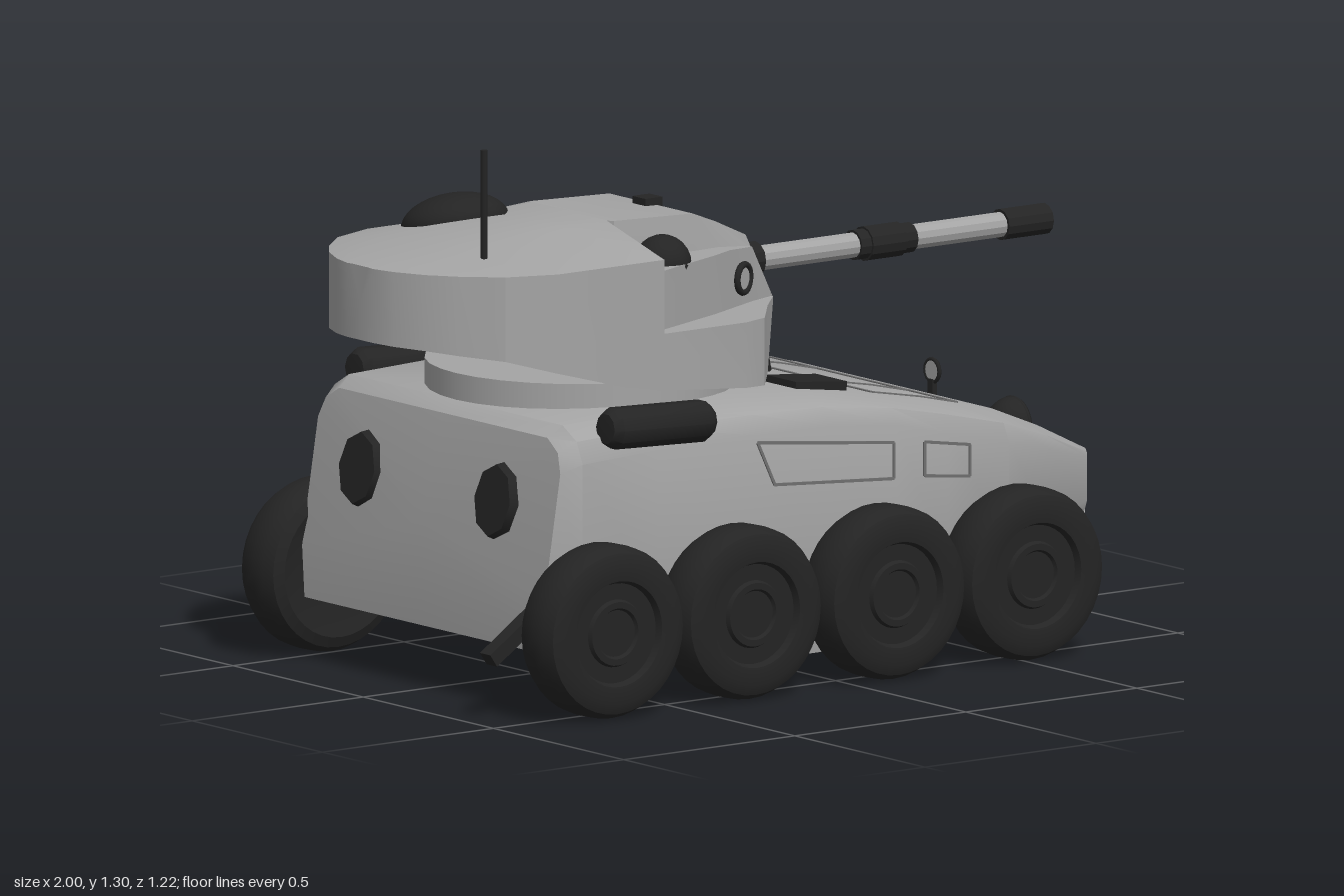
import * as THREE from 'three';
import { toCreasedNormals } from 'three/addons/utils/BufferGeometryUtils.js';

const material = (name, color) => {
  const m = new THREE.MeshStandardMaterial({ color });
  m.name = name;
  return m;
};

// Closed loft along x. Each half section lists [x, y, z] from bottom centre to top centre.
function loft(halves, crease) {
  const rings = halves.map(h => [...h, ...h.slice(1, -1).reverse().map(([x, y, z]) => [x, y, -z])]);
  const n = rings[0].length, pos = [];
  for (let i = 0; i < rings.length - 1; i++) {
    const a = rings[i], b = rings[i + 1];
    for (let j = 0; j < n; j++) {
      const k = (j + 1) % n;
      pos.push(...a[j], ...b[j], ...a[k], ...b[j], ...b[k], ...a[k]);
    }
  }
  const first = rings[0], last = rings[rings.length - 1];
  const mid = r => [r[0][0], (r[0][1] + r[n / 2][1]) / 2, 0];
  for (let j = 0; j < n; j++) {
    const k = (j + 1) % n;
    pos.push(...mid(first), ...first[j], ...first[k], ...mid(last), ...last[k], ...last[j]);
  }
  const g = new THREE.BufferGeometry();
  g.setAttribute('position', new THREE.Float32BufferAttribute(pos, 3));
  return toCreasedNormals(g, crease);
}

// Hull stations: x, bottom y, bottom half width, side half width, shoulder y, roof half width, roof y
const HULL = [
  [-0.82, 0.15, 0.45, 0.465, 0.57, 0.40, 0.645], [-0.72, 0.13, 0.47, 0.487, 0.59, 0.41, 0.672],
  [-0.5, 0.10, 0.47, 0.487, 0.60, 0.41, 0.68], [-0.2, 0.065, 0.47, 0.487, 0.60, 0.41, 0.675],
  [0, 0.065, 0.47, 0.487, 0.60, 0.41, 0.668], [0.2, 0.065, 0.47, 0.485, 0.58, 0.41, 0.64],
  [0.36, 0.065, 0.46, 0.472, 0.54, 0.40, 0.61], [0.56, 0.145, 0.39, 0.442, 0.49, 0.375, 0.563],
  [0.72, 0.20, 0.34, 0.39, 0.45, 0.34, 0.50], [0.893, 0.255, 0.288, 0.305, 0.40, 0.298, 0.42],
];

// Hull dimension (column) at a given x
function hullAt(x, column) {
  const i = Math.max(1, HULL.findIndex(s => s[0] >= x));
  const a = HULL[i - 1], b = HULL[i];
  return THREE.MathUtils.lerp(a[column], b[column], (x - a[0]) / (b[0] - a[0]));
}

// Turret stations: x, skirt half width, bottom y, cheek half width, shelf y, ridge half width, ridge y
const TURRET = [
  [-1, 0.05, 0.845, 0.05, 1.02, 0.03, 1.021], [-0.985, 0.11, 0.843, 0.11, 1.02, 0.06, 1.023],
  [-0.95, 0.185, 0.84, 0.185, 1.02, 0.09, 1.03], [-0.9, 0.25, 0.832, 0.25, 1.02, 0.12, 1.036],
  [-0.82, 0.322, 0.82, 0.322, 1.02, 0.14, 1.045], [-0.7, 0.366, 0.785, 0.366, 1.02, 0.14, 1.058],
  [-0.5, 0.367, 0.73, 0.367, 1.02, 0.14, 1.073], [-0.39, 0.367, 0.71, 0.367, 1.02, 0.145, 1.08],
  [-0.38, 0.367, 0.71, 0.335, 0.985, 0.16, 1.08], [-0.15, 0.367, 0.69, 0.245, 0.985, 0.16, 1.072],
  [-0.08, 0.345, 0.685, 0.212, 0.985, 0.155, 1.045], [0.02, 0.225, 0.685, 0.165, 0.975, 0.14, 1.0],
  [0.1, 0.14, 0.83, 0.138, 0.84, 0.13, 0.845],
];

export function createModel() {
  const grey = material('armour grey', 0xa4a4a4);
  const dark = material('rubber black', 0x242424);
  const white = material('plate white', 0xdedede);
  const line = material('seam grey', 0x707070);
  const root = new THREE.Group();
  const body = new THREE.Group();
  body.name = 'body';
  body.position.z = -0.012;
  root.add(body);

  const add = (name, geometry, mat, x = 0, y = 0, z = 0, parent = body) => {
    const m = new THREE.Mesh(geometry, mat);
    m.name = name;
    m.position.set(x, y, z);
    parent.add(m);
    return m;
  };
  // Thin seam strips through a list of points
  const stroke = (name, points, mat = line) => {
    for (let i = 0; i < points.length - 1; i++) {
      const a = new THREE.Vector3(...points[i]), b = new THREE.Vector3(...points[i + 1]);
      const m = add(name, new THREE.BoxGeometry(0.007, 0.007, a.distanceTo(b)), mat);
      m.position.copy(a).lerp(b, 0.5);
      m.lookAt(b.clone().add(body.position));
    }
  };

  // Hull with a leaning rear wall
  add('hull', loft(HULL.map(([x, yb, wb, ws, ys, wt, yt], i) => {
    const p = (y, z) => [x + (i ? 0 : 0.16 * Math.max(0, y - 0.25)), y, z];
    return [p(yb, 0), p(yb, wb), p(yb + (ys - yb) * 0.3, ws), p(ys, ws),
      p(ys + (yt - ys) * 0.62, wt + (ws - wt) * 0.7), p(yt, wt), p(yt, 0)];
  }), 0.6), grey);
  add('nosePlate', new THREE.BoxGeometry(0.009, 0.148, 0.575), white, 0.896, 0.322, 0);

  // Side hatches
  const panels = [
    [[-0.21, 0.585], [0.19, 0.54], [0.19, 0.455], [-0.16, 0.48], [-0.21, 0.585]],
    [[0.285, 0.53], [0.43, 0.505], [0.43, 0.43], [0.285, 0.45], [0.285, 0.53]],
  ];
  for (const s of [1, -1])
    for (const p of panels) stroke('sideHatchSeam', p.map(([x, y]) => [x, y, s * hullAt(x, 3)]));

  // Roof seams
  const roof = (x, z) => [x, hullAt(x, 6), z];
  for (const z of [-0.36, -0.175, 0.175, 0.36])
    stroke('roofSeam', [roof(0.22, z), roof(0.36, z), roof(0.47, z)]);
  for (const x of [0.22, 0.47]) stroke('roofSeam', [roof(x, -0.36), roof(x, 0.36)]);

  // Roof hatches in front of the turret
  for (const s of [1, -1]) {
    const h = add('roofHatch', new THREE.BoxGeometry(0.15, 0.03, 0.12), dark, 0.085, 0.66, s * 0.285);
    h.rotation.z = -0.1;
  }
  add('roofVent', new THREE.CylinderGeometry(0.045, 0.05, 0.03, 12), dark, 0.14, 0.66, 0);

  // Stowage rolls along the shoulders
  const roll = new THREE.LatheGeometry([[0, -0.152], [0.036, -0.15], [0.05, -0.13], [0.05, 0.13],
    [0.036, 0.15], [0, 0.152]].map(p => new THREE.Vector2(...p)), 10);
  for (const s of [1, -1])
    add('stowageRoll', toCreasedNormals(roll, 0.7), dark, -0.5, 0.66, s * 0.482).rotation.z = Math.PI / 2 - 0.04;

  // Rear: octagonal covers and a tow tongue
  for (const s of [1, -1]) {
    const c = add('rearCover', new THREE.CylinderGeometry(0.085, 0.095, 0.035, 8), dark, -0.795, 0.48, s * 0.26);
    c.rotation.set(0, 0, Math.PI / 2 - 0.16);
    c.scale.z = 0.8;
  }
  add('towTongue', new THREE.BoxGeometry(0.18, 0.035, 0.04), dark, -0.87, 0.195, 0.42).rotation.z = 0.6;

  // Headlight hood and mirror on the nose
  const hood = add('headlightHood', new THREE.SphereGeometry(0.066, 16, 8, 0, Math.PI, 0, Math.PI / 2), dark, 0.78, 0.47, 0.17);
  hood.rotation.y = -Math.PI / 2;
  add('headlightLens', new THREE.CircleGeometry(0.052, 16, 0, Math.PI), grey, 0.782, 0.47, 0.17).rotation.y = Math.PI / 2;
  const rim = add('headlightRim', new THREE.TorusGeometry(0.06, 0.008, 6, 16, Math.PI), dark, 0.78, 0.47, 0.17);
  rim.rotation.y = Math.PI / 2;
  add('mirrorPole', new THREE.BoxGeometry(0.014, 0.09, 0.018), dark, 0.85, 0.465, -0.233);
  add('mirrorRim', new THREE.TorusGeometry(0.027, 0.005, 6, 16), dark, 0.85, 0.53, -0.233).rotation.y = Math.PI / 2;
  add('mirrorGlass', new THREE.CylinderGeometry(0.025, 0.025, 0.006, 16), grey, 0.85, 0.53, -0.233).rotation.z = Math.PI / 2;

  // Turret with notched cheeks
  add('turretRing', new THREE.CylinderGeometry(0.36, 0.36, 0.08, 32), grey, -0.36, 0.695, 0);
  add('turret', loft(TURRET.map(([x, wl, yb, wc, yc, r, yr]) => [
    [x, yb, 0], [x, yb, wl], [x, 0.845, wl], [x, 0.846, wc], [x, yc, wc],
    [x, yc, x > -0.385 ? r + 0.01 : wc], [x, yr, r], [x, yr, 0],
  ]), 0.35), grey);

  // Turret roof fittings
  const hatch = add('commanderHatch', new THREE.SphereGeometry(0.128, 24, 8, 0, Math.PI * 2, 0, Math.PI / 2), dark, -0.57, 1.045, -0.2);
  hatch.scale.y = 0.55;
  hatch.rotation.x = -0.25;
  for (const s of [1, -1]) {
    add('sightDome', new THREE.SphereGeometry(0.068, 20, 12), dark, -0.29, 0.98, s * 0.228);
    // Lens set into each cheek face
    const lens = new THREE.Group();
    lens.name = 'cheekLens';
    lens.position.set(-0.03, 0.91, s * 0.193);
    lens.rotation.y = Math.PI / 2 - s * 1.12;
    body.add(lens);
    add('lensRim', new THREE.TorusGeometry(0.033, 0.008, 8, 20), dark, 0, 0, 0.004, lens);
    add('lensGlass', new THREE.CircleGeometry(0.03, 20), grey, 0, 0, 0.006, lens);
  }
  add('roofSensor', new THREE.BoxGeometry(0.05, 0.05, 0.05), dark, -0.16, 1.065, 0);
  add('antenna', new THREE.CylinderGeometry(0.008, 0.008, 0.28, 8), dark, -0.78, 1.157, 0.187);

  // Gun barrel with dark sleeves: start x, end x, radius
  for (const [name, a, b, r, mat] of [['barrel', 0, 0.99, 0.03, grey], ['barrelCollar', 0.03, 0.155, 0.042, dark],
    ['barrelSleeve', 0.47, 0.57, 0.041, dark], ['barrelSleeveEdge', 0.44, 0.605, 0.036, dark],
    ['muzzle', 0.87, 1, 0.037, dark]]) {
    const g = new THREE.CylinderGeometry(r, r, b - a, 12);
    add(name, toCreasedNormals(g, 0.3), mat, (a + b) / 2, 0.907, 0).rotation.z = Math.PI / 2;
  }

  // Eight wheels, with stepped hub rings on the outer face
  const profile = [[0, -0.06], [0.12, -0.06], [0.165, -0.071], [0.19, -0.06], [0.203, -0.035], [0.205, 0],
    [0.203, 0.035], [0.19, 0.06], [0.165, 0.071], [0.125, 0.066], [0.118, 0.05], [0.08, 0.05],
    [0.075, 0.06], [0.06, 0.06], [0.055, 0.052], [0, 0.052]].map(p => new THREE.Vector2(...p));
  const wheel = toCreasedNormals(new THREE.LatheGeometry(profile, 36), 0.6);
  for (const s of [1, -1])
    for (const x of [-0.71, -0.307, 0.112, 0.515])
      add('wheel', wheel, dark, x, 0.207, s * 0.537, root).rotation.x = s * Math.PI / 2;
  const axle = new THREE.CylinderGeometry(0.05, 0.05, 1.0, 12);
  for (const x of [-0.71, -0.307, 0.112, 0.515])
    add('axle', axle, dark, x, 0.207, 0, root).rotation.x = Math.PI / 2;

  return root;
}
